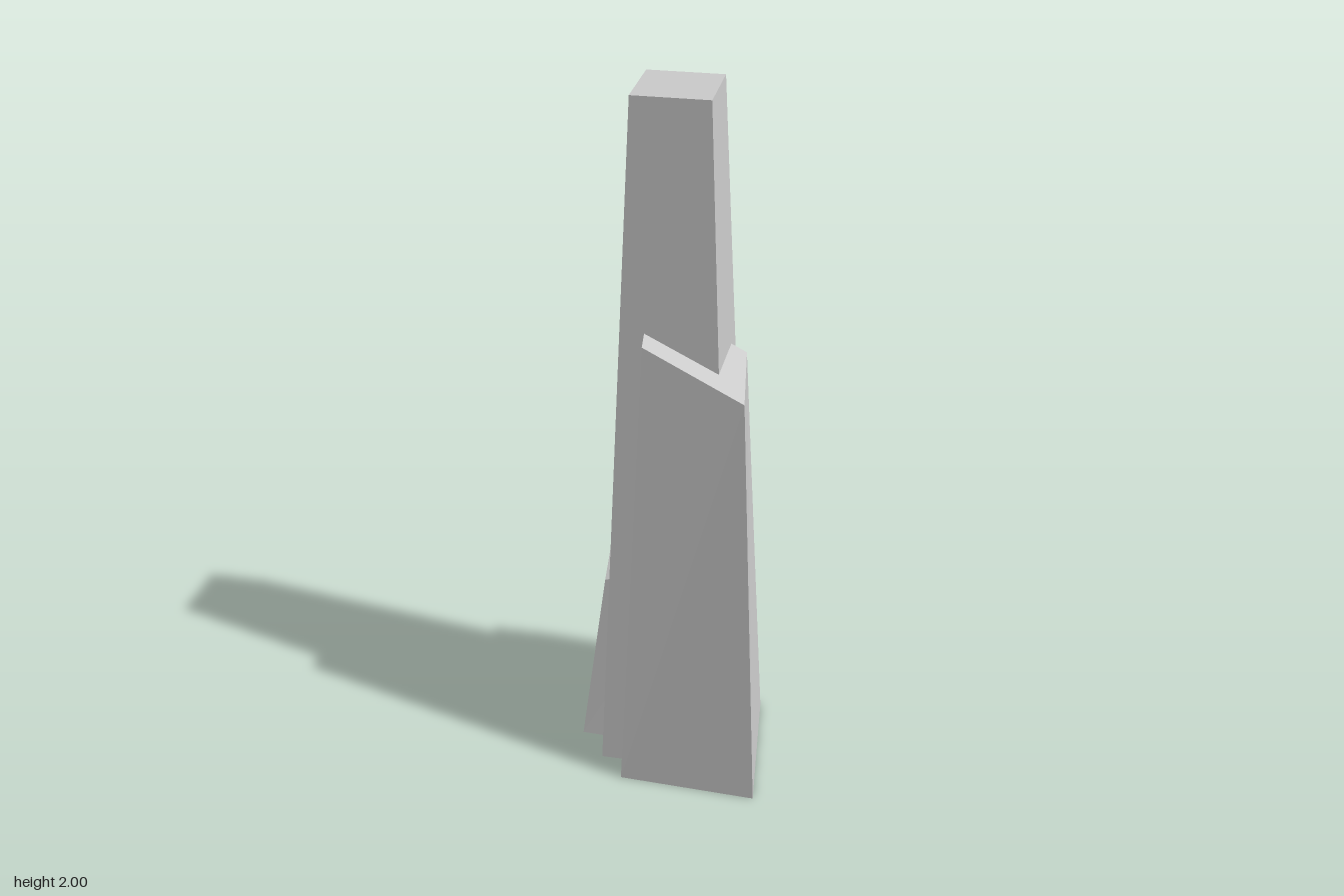
import * as THREE from 'three';

const material = new THREE.MeshStandardMaterial({ color: 0xcccccc, flatShading: true });

// Tapered block from two four-cornered rings of [x, y, z],
// each ordered front-left, front-right, back-right, back-left as seen from the front.
function taperedBlock(name, base, top) {
  const positions = [];
  const quad = (a, b, c, d) => positions.push(...a, ...b, ...c, ...a, ...c, ...d);
  for (let i = 0; i < 4; i++) {
    const j = (i + 1) % 4;
    quad(base[i], base[j], top[j], top[i]);
  }
  quad(...top);
  quad(...[...base].reverse());
  const geometry = new THREE.BufferGeometry();
  geometry.setAttribute('position', new THREE.Float32BufferAttribute(positions, 3));
  geometry.computeVertexNormals();
  const mesh = new THREE.Mesh(geometry, material);
  mesh.name = name;
  return mesh;
}

// Level rectangular ring
const rect = (x0, x1, z0, z1, y) => [[x0, y, z1], [x1, y, z1], [x1, y, z0], [x0, y, z0]];

// Skewed footprint of the side blocks; the inner corner is buried in the tower
const skewBase = [[-0.101, 0.283], [0.291, 0.296], [0.255, -0.115], [-0.137, -0.128]];
const skewTop = [[-0.037, 0.219], [0.226, 0.231], [0.19, -0.05], [-0.073, -0.062]];

// Side block with a roof sloping from the high edge to the low edge; turn = -1 rotates it half a turn
function sideBlock(name, turn, high, low) {
  const base = skewBase.map(([x, z]) => [x * turn, 0, z * turn]);
  const heights = [high, low, low, high];
  const top = skewTop.map(([x, z], i) => [x * turn, heights[i], z * turn]);
  return taperedBlock(name, base, top);
}

export function createModel() {
  const model = new THREE.Group();
  model.name = 'skyscraper';

  // Central tower
  model.add(taperedBlock('mainTower',
    rect(-0.175, 0.206, -0.174, 0.207, 0),
    rect(-0.083, 0.115, -0.083, 0.116, 2)));

  // Tall block at the front and low block at the back, both with sloping roofs
  model.add(sideBlock('frontBlock', 1, 1.393, 1.263));
  model.add(sideBlock('backBlock', -1, 0.63, 0.535));

  return model;
}
